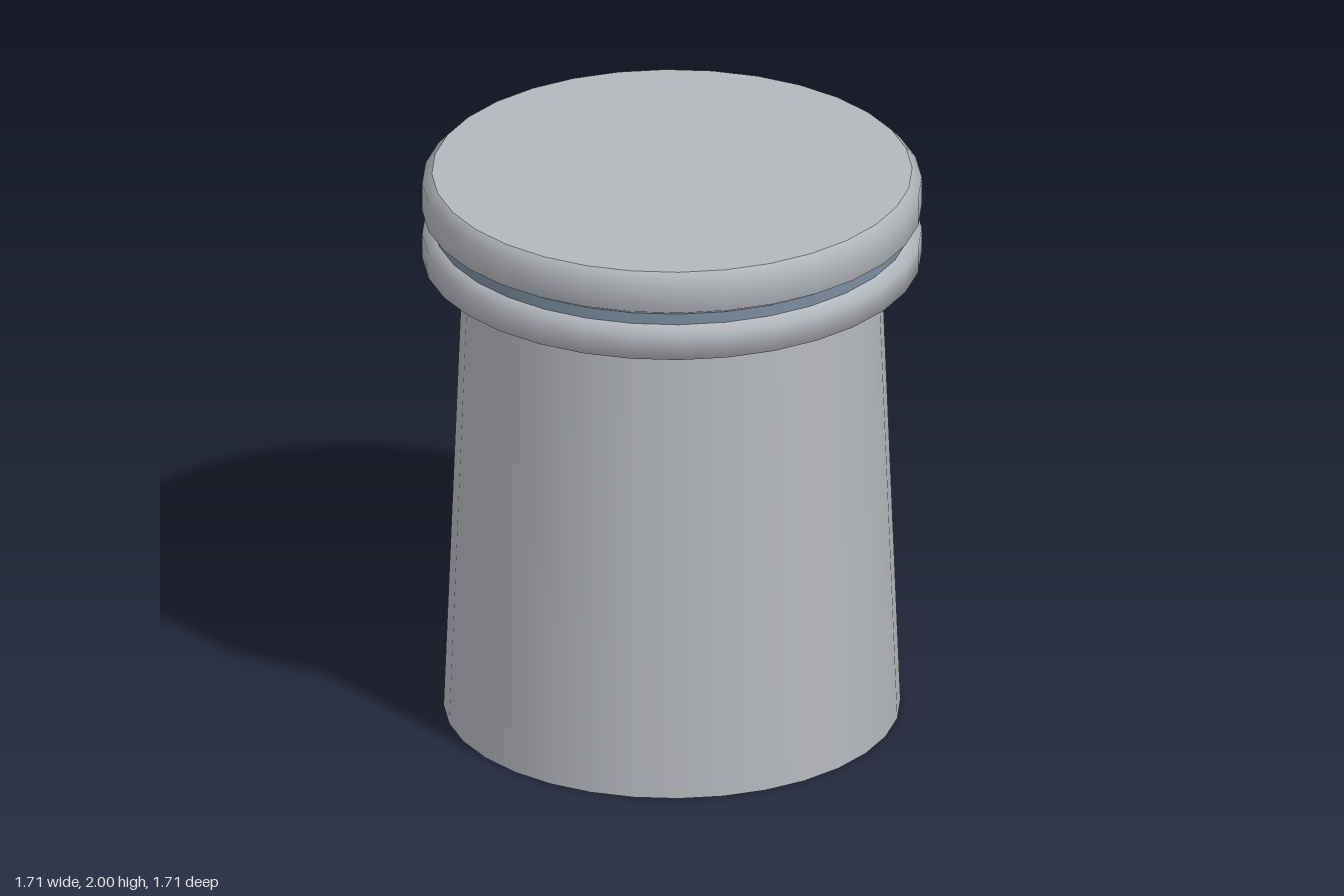
import * as THREE from 'three';

const SIDES = 32;

export function createModel() {
  const grey = new THREE.MeshStandardMaterial({ color: 0xb4b7bc });
  grey.name = 'light grey';
  const blue = new THREE.MeshStandardMaterial({ color: 0x7a8da0 });
  blue.name = 'slate blue';

  const model = new THREE.Group();
  model.name = 'stopper';

  // Turned part from [radius, height] points, listed bottom to top
  const turn = (name, points, material) => {
    const profile = points.map(([r, y]) => new THREE.Vector2(r, y));
    const mesh = new THREE.Mesh(new THREE.LatheGeometry(profile, SIDES), material);
    mesh.name = name;
    model.add(mesh);
  };

  // Tapered body and its flat underside
  turn('bodyBase', [[0, 0], [0.78, 0]], grey);
  turn('body', [[0.78, 0], [0.715, 1.66]], grey);

  // Two bevelled rings with a coloured groove between them
  turn('lowerRing', [[0.71, 1.657], [0.775, 1.657], [0.853, 1.685], [0.853, 1.775], [0.815, 1.8]], grey);
  turn('groove', [[0.815, 1.8], [0.815, 1.84]], blue);
  turn('upperRing', [[0.815, 1.84], [0.853, 1.862], [0.853, 1.965], [0.82, 2]], grey);

  // Flat top
  turn('topFace', [[0.82, 2], [0, 2]], grey);

  return model;
}
